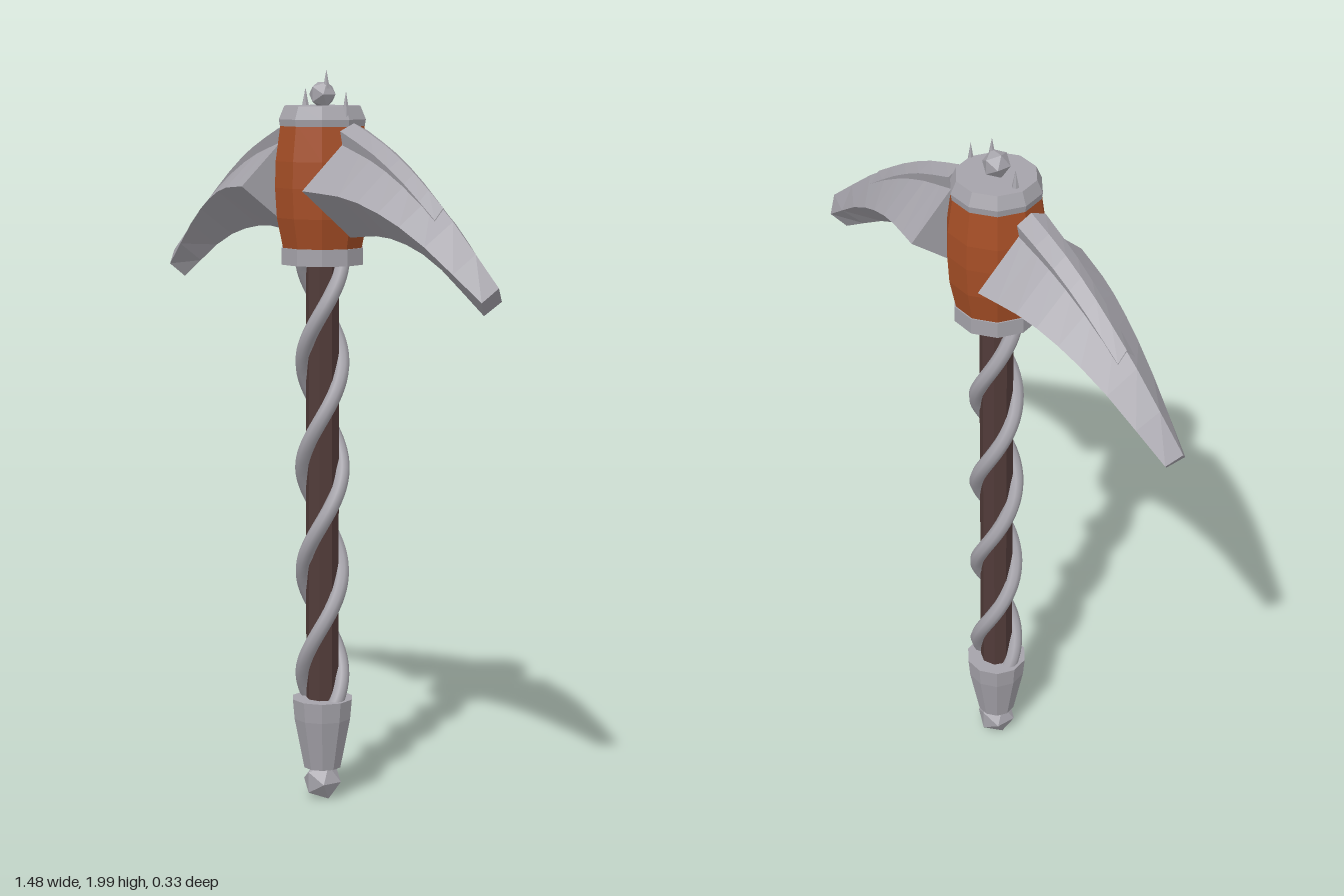
import * as THREE from 'three';

const metal = new THREE.MeshStandardMaterial({ color: 0xa5a3aa });
metal.name = 'steel';
const wood = new THREE.MeshStandardMaterial({ color: 0xa54e26 });
wood.name = 'orange wood';
const grip = new THREE.MeshStandardMaterial({ color: 0x513b39 });
grip.name = 'dark wood';

const V = (x, y, z = 0) => new THREE.Vector3(x, y, z);

// Splits shared vertices so that every face is shaded flat
function faceted(geometry) {
  const g = geometry.index ? geometry.toNonIndexed() : geometry;
  g.computeVertexNormals();
  return g;
}

function add(parent, name, geometry, material, x = 0, y = 0, z = 0) {
  const mesh = new THREE.Mesh(geometry, material);
  mesh.name = name;
  mesh.position.set(x, y, z);
  parent.add(mesh);
  return mesh;
}

// Ten-sided turned part from [radius, height] pairs, bottom to top
function turned(profile) {
  const points = profile.map(([r, y]) => new THREE.Vector2(r, y));
  return faceted(new THREE.LatheGeometry(points, 10, Math.PI / 2));
}

// Skin over cross-sections that run along +x, closed at both ends
function loft(sections) {
  const pos = [];
  const tri = (...p) => p.forEach((v) => pos.push(v.x, v.y, v.z));
  const n = sections[0].length;
  for (let i = 0; i < sections.length - 1; i++) {
    for (let j = 0; j < n; j++) {
      const k = (j + 1) % n;
      const [a, b, c, d] = [sections[i][j], sections[i][k], sections[i + 1][k], sections[i + 1][j]];
      tri(a, b, c);
      tri(a, c, d);
    }
  }
  const first = sections[0];
  const last = sections[sections.length - 1];
  for (let j = 1; j < n - 1; j++) {
    tri(first[0], first[j + 1], first[j]);
    tri(last[0], last[j], last[j + 1]);
  }
  const g = new THREE.BufferGeometry();
  g.setAttribute('position', new THREE.Float32BufferAttribute(pos, 3));
  g.computeVertexNormals();
  return g;
}

// Kite-shaped blade that curves down and narrows to a chisel tip
function bladeGeometry() {
  const top = new THREE.CatmullRomCurve3([V(0.14, 1.84), V(0.3, 1.785), V(0.5, 1.672), V(0.742, 1.475)]);
  const mid = new THREE.CatmullRomCurve3([V(0.14, 1.69), V(0.3, 1.673), V(0.48, 1.6), V(0.715, 1.438)]);
  const low = new THREE.CatmullRomCurve3([V(0.128, 1.562), V(0.28, 1.572), V(0.46, 1.53), V(0.685, 1.402)]);
  const sections = [];
  for (let i = 0; i <= 8; i++) {
    const t = i / 8;
    const m = mid.getPoint(t);
    const w = THREE.MathUtils.mapLinear(m.x, 0.14, 0.715, 0.165, 0.032);
    sections.push([top.getPoint(t), V(m.x, m.y, w), low.getPoint(t), V(m.x, m.y, -w)]);
  }
  return loft(sections);
}

// Narrow rib that lies along the back of the blade and sinks into it
function ribGeometry() {
  const back = new THREE.CatmullRomCurve3([V(0.142, 1.862), V(0.28, 1.808), V(0.4, 1.742), V(0.52, 1.66)]);
  const sections = [];
  for (let i = 0; i <= 6; i++) {
    const t = i / 6;
    const { x, y } = back.getPoint(t);
    const w = 0.045 - 0.018 * t;
    const drop = 0.02 + 0.01 * t;
    sections.push([
      V(x, y), V(x, y - drop, w), V(x, y - 0.065, w * 0.8),
      V(x, y - 0.065, -w * 0.8), V(x, y - drop, -w),
    ]);
  }
  return loft(sections);
}

// One of two strands wound around the shaft
function strandGeometry(phase) {
  const points = [];
  for (let i = 0; i <= 40; i++) {
    const y = 0.26 + (1.5 - 0.26) * (i / 40);
    const a = phase - (2 * Math.PI * (y - 1.418)) / 0.573;
    points.push(V(0.053 * Math.cos(a), y, 0.053 * Math.sin(a)));
  }
  return new THREE.TubeGeometry(new THREE.CatmullRomCurve3(points), 80, 0.021, 8);
}

export function createModel() {
  const model = new THREE.Group();
  model.name = 'pickaxe';

  // Handle
  add(model, 'shaft', faceted(new THREE.CylinderGeometry(0.045, 0.045, 1.26, 8)), grip, 0, 0.88);
  for (let i = 0; i < 2; i++) add(model, 'shaftStrand', strandGeometry(i * Math.PI), metal);

  // Pommel with a faceted stud at the bottom
  add(model, 'pommel', turned([[0, 0.095], [0.052, 0.095], [0.08, 0.235], [0.085, 0.29], [0, 0.29]]), metal);
  add(model, 'pommelStud', faceted(new THREE.IcosahedronGeometry(0.055, 0)), metal, 0, 0.055);

  // Barrel-shaped head between two collars
  add(model, 'headBarrel', turned([[0.108, 1.52], [0.127, 1.61], [0.132, 1.69], [0.13, 1.76], [0.116, 1.86]]), wood);
  add(model, 'lowerCollar', turned([[0, 1.485], [0.114, 1.485], [0.114, 1.53], [0, 1.53]]), metal);
  add(model, 'topCap', turned([[0, 1.852], [0.118, 1.852], [0.121, 1.87], [0.106, 1.905], [0, 1.905]]), metal);

  // Crown stud and spikes
  add(model, 'crownStud', faceted(new THREE.IcosahedronGeometry(0.038, 0)), metal, 0, 1.935);
  for (const [x, base, tip, r] of [[0.018, 1.93, 2.0, 0.014], [-0.078, 1.89, 1.952, 0.013], [0.106, 1.865, 1.945, 0.014]]) {
    const cone = faceted(new THREE.ConeGeometry(r, tip - base, 6));
    add(model, 'crownSpike', cone, metal, x, (base + tip) / 2);
  }

  // Two matching blades
  for (const [name, turn] of [['leftBlade', 0], ['rightBlade', Math.PI]]) {
    const side = new THREE.Group();
    side.name = name;
    side.rotation.y = turn;
    add(side, 'blade', bladeGeometry(), metal);
    add(side, 'bladeRib', ribGeometry(), metal);
    model.add(side);
  }
  return model;
}
